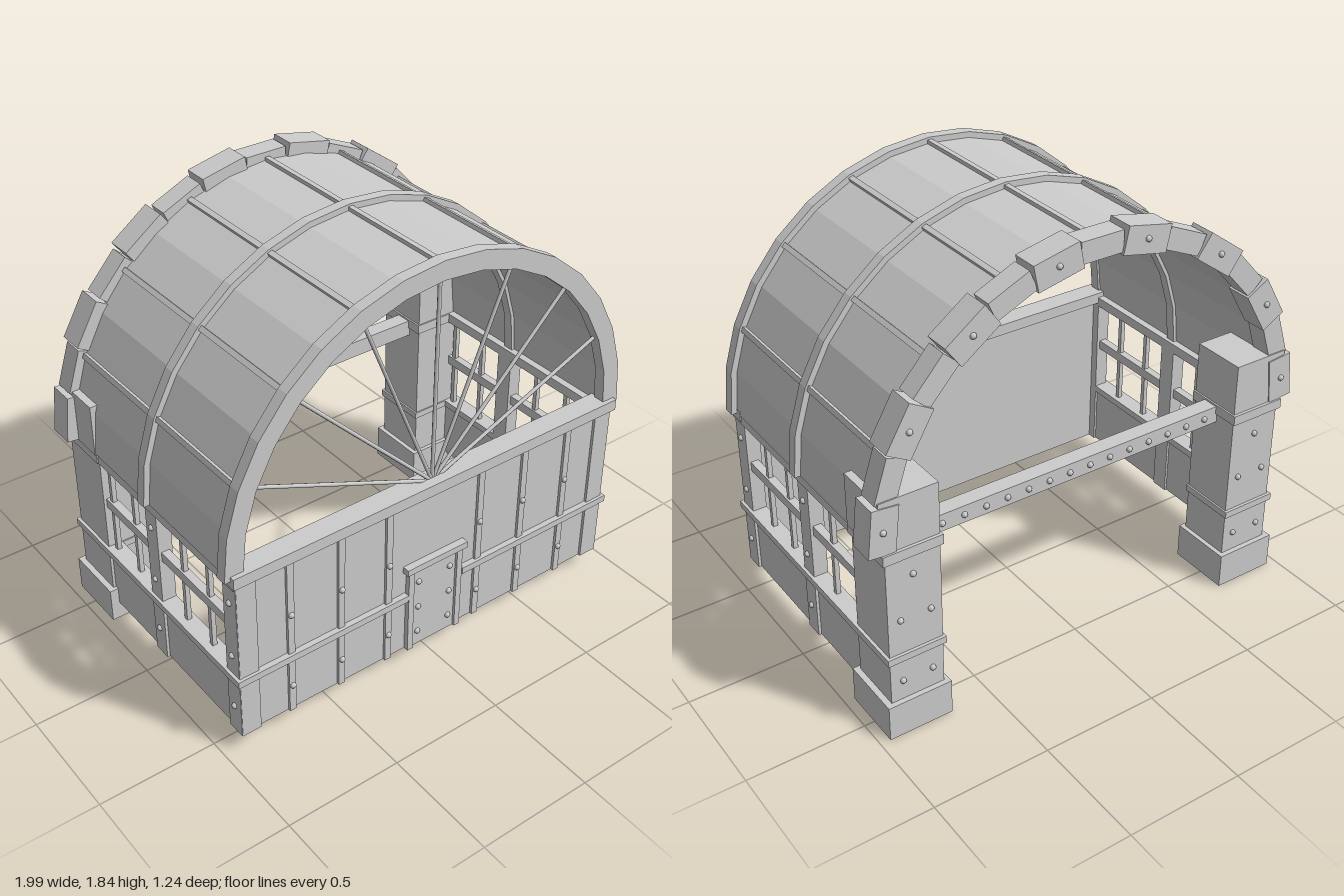
import * as THREE from 'three';

const CY = 0.85; // height of the arch centre
const STEP = Math.PI / 16;

export function createModel() {
  const group = new THREE.Group();
  group.name = 'vaultedShed';
  const grey = new THREE.MeshStandardMaterial({ color: 0xcccccc });
  grey.name = 'plain grey';

  const add = (name, geometry, parent = group) => {
    const mesh = new THREE.Mesh(geometry, grey);
    mesh.name = name;
    parent.add(mesh);
    return mesh;
  };
  // box given by its limits on each axis
  const box = (name, x0, x1, y0, y1, z0, z1) => {
    const mesh = add(name, new THREE.BoxGeometry(x1 - x0, y1 - y0, z1 - z0));
    mesh.position.set((x0 + x1) / 2, (y0 + y1) / 2, (z0 + z1) / 2);
    return mesh;
  };
  // the same box on both sides
  const pair = (name, x0, x1, ...rest) => {
    box(name, x0, x1, ...rest);
    box(name, -x1, -x0, ...rest);
  };
  // domed bolt head, facing along the given axis
  const boltGeometry = new THREE.SphereGeometry(0.013, 10, 6);
  const bolt = (x, y, z) => add('bolt', boltGeometry).position.set(x, y, z);

  // faceted half ring, extruded along z
  const halfRing = (name, inner, outer, z0, z1) => {
    const pts = [];
    for (let i = 0; i <= 16; i++) pts.push(new THREE.Vector2(Math.cos(i * STEP) * outer, Math.sin(i * STEP) * outer));
    for (let i = 16; i >= 0; i--) pts.push(new THREE.Vector2(Math.cos(i * STEP) * inner, Math.sin(i * STEP) * inner));
    const geo = new THREE.ExtrudeGeometry(new THREE.Shape(pts), { depth: z1 - z0, bevelEnabled: false });
    add(name, geo).position.set(0, CY, z0);
  };

  // roof vault with its ribs
  halfRing('roof', 0.9, 0.945, -0.52, 0.58);
  halfRing('frontRib', 0.89, 0.97, 0.545, 0.595);
  halfRing('middleRib', 0.885, 0.97, 0, 0.045);

  // battens along the roof and spokes of the fan window
  for (let i = -3; i <= 3; i++) {
    const a = i * STEP * 2;
    const batten = add('roofBatten', new THREE.BoxGeometry(0.022, 0.03, 1.09));
    batten.position.set(Math.sin(a) * 0.945, CY + Math.cos(a) * 0.945, 0.045);
    batten.rotation.z = -a;
    const spoke = add('fanSpoke', new THREE.CylinderGeometry(0.008, 0.008, 0.9, 8));
    spoke.position.set(Math.sin(a) * 0.45, CY + Math.cos(a) * 0.45, 0.565);
    spoke.rotation.z = -a;
  }

  // arch stones at the back, every other one larger and bolted
  for (let i = -7; i <= 7; i++) {
    const a = THREE.MathUtils.degToRad(i * 12);
    const big = i % 2 !== 0;
    const outer = big ? 0.992 : 0.978;
    const inner = big ? 0.88 : 0.89;
    const stone = add('archStone', new THREE.BoxGeometry(big ? 0.2 : 0.186, outer - inner, big ? 0.11 : 0.09));
    const r = (outer + inner) / 2;
    stone.position.set(Math.sin(a) * r, CY + Math.cos(a) * r, -0.55);
    stone.rotation.z = -a;
    if (big) bolt(Math.sin(a) * 0.94, CY + Math.cos(a) * 0.94, -0.606);
  }

  // front wall
  box('frontWall', -0.92, 0.92, 0.08, 0.83, 0.555, 0.59);
  box('frontTopRail', -0.945, 0.945, 0.82, 0.87, 0.52, 0.615);
  pair('frontMidRail', 0.14, 0.945, 0.345, 0.375, 0.58, 0.615);
  pair('frontCornerPlate', 0.845, 0.93, 0.08, 0.825, 0.57, 0.602);
  for (const x of [0.23, 0.46, 0.695]) {
    pair('frontBatten', x - 0.015, x + 0.015, 0.08, 0.825, 0.585, 0.602);
    for (const s of [-1, 1]) for (const y of [0.21, 0.565]) bolt(s * x, y, 0.603);
  }

  // small door
  box('door', -0.13, 0.13, 0.08, 0.49, 0.585, 0.6);
  pair('doorJamb', 0.11, 0.137, 0.08, 0.49, 0.585, 0.612);
  box('doorCap', -0.152, 0.152, 0.483, 0.512, 0.58, 0.622);
  for (const x of [-0.08, 0.08]) for (const y of [0.15, 0.28, 0.41]) bolt(x, y, 0.601);

  // side walls: low panel, rails and posts
  pair('sidePanel', 0.88, 0.92, 0.08, 0.35, -0.37, 0.58);
  pair('sideMidRail', 0.87, 0.945, 0.345, 0.375, -0.37, 0.615);
  pair('sideTopRail', 0.87, 0.94, 0.805, 0.848, -0.37, 0.6);
  for (const [z0, z1] of [[0.517, 0.6], [-0.02, 0.06]]) {
    pair('sidePost', 0.87, 0.932, 0.08, 0.845, z0, z1);
    for (const s of [-1, 1]) for (const y of [0.21, 0.465, 0.72]) bolt(s * 0.933, y, (z0 + z1) / 2);
  }

  // window grids
  for (const z of [0.38, 0.2, -0.155, -0.335]) pair('windowBar', 0.892, 0.912, 0.36, 0.82, z - 0.01, z + 0.01);
  pair('windowCrossbar', 0.885, 0.92, 0.575, 0.617, -0.37, 0.53);

  // rear pillars
  pair('pillarBase', 0.68, 0.957, 0, 0.155, -0.622, -0.347);
  pair('pillar', 0.7, 0.932, 0.15, 0.83, -0.6, -0.364);
  pair('pillarLowerBand', 0.692, 0.945, 0.345, 0.375, -0.613, -0.358);
  pair('pillarUpperBand', 0.692, 0.945, 0.805, 0.848, -0.613, -0.358);
  pair('pillarHead', 0.7, 0.948, 0.845, 1.07, -0.6, -0.364);
  for (const s of [-1, 1]) {
    for (const [x, y] of [[0.75, 0.53], [0.88, 0.53], [0.75, 0.245], [0.88, 0.245], [0.82, 0.72]]) bolt(s * x, y, -0.603);
  }

  // bolted beam between the pillars
  box('rearBeam', -0.71, 0.71, 0.765, 0.84, -0.5, -0.43);
  for (let i = 0; i < 14; i++) bolt(-0.63 + i * 1.26 / 13, 0.802, -0.502);

  return group;
}
